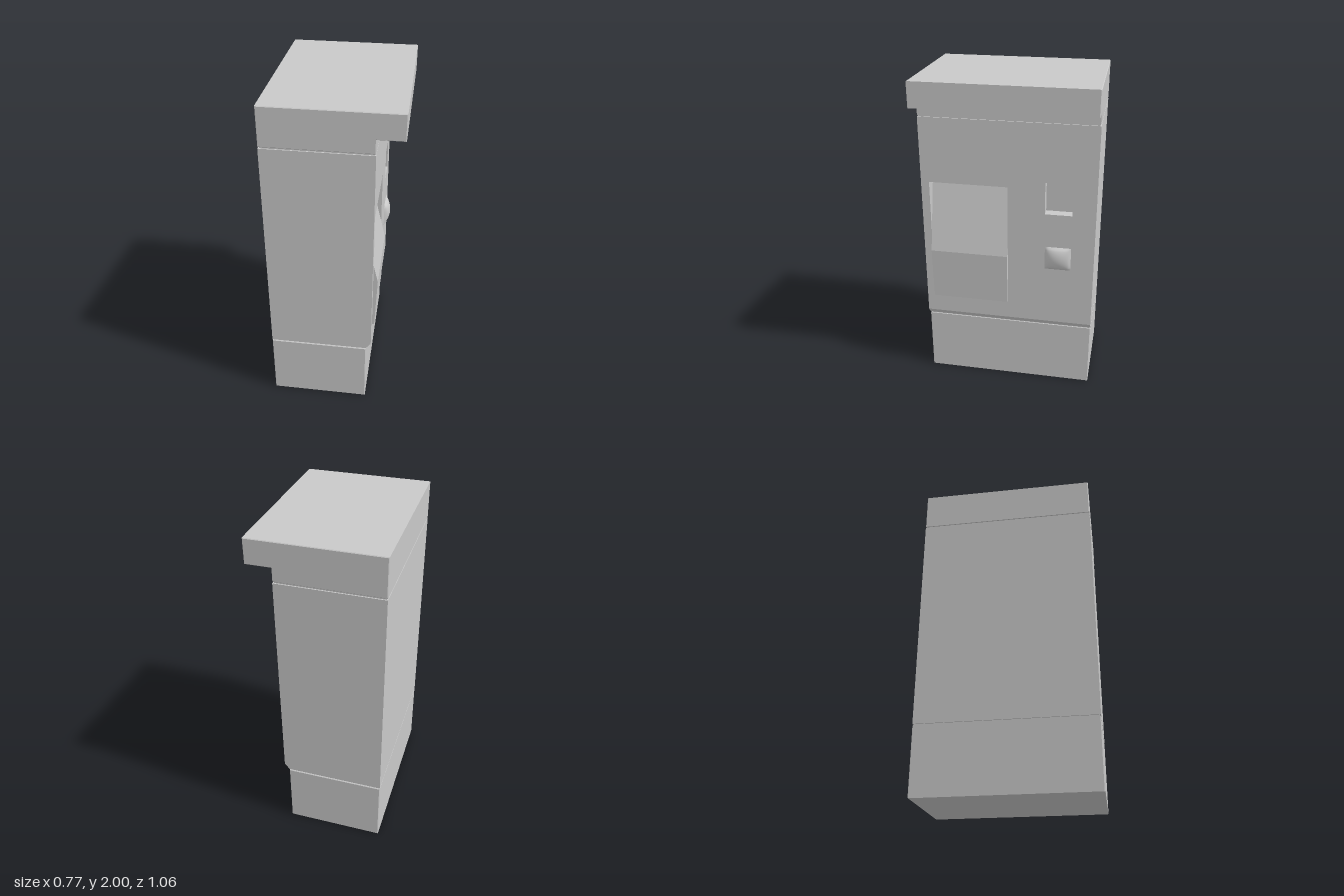
import * as THREE from 'three';

const HALF = 0.53; // half width along z
const BACK = -0.387;
const FACE = 0.235; // x of the service face
const CORE = 0.14; // x of the floor behind the face panel

const grey = new THREE.MeshStandardMaterial({ color: 0xc8c8c8 });
grey.name = 'grey casing';

function add(group, name, geometry) {
  const mesh = new THREE.Mesh(geometry, grey);
  mesh.name = name;
  group.add(mesh);
}

// Side profile in x,y extruded between two z values, with an optional tiny edge bevel
function profile(points, z0, z1, bevel = 0) {
  const shape = new THREE.Shape(points.map(([x, y]) => new THREE.Vector2(x, y)));
  const g = new THREE.ExtrudeGeometry(shape, {
    depth: z1 - z0 - 2 * bevel, bevelEnabled: bevel > 0, bevelSize: bevel,
    bevelThickness: bevel, bevelOffset: -bevel, bevelSegments: 1,
  });
  return g.translate(0, 0, z0 + bevel);
}

function rect(Type, z0, z1, y0, y1) {
  return new Type([[-z1, y0], [-z0, y0], [-z0, y1], [-z1, y1]].map(([x, y]) => new THREE.Vector2(x, y)));
}

export function createModel() {
  const group = new THREE.Group();
  group.name = 'kiosk';

  // Plinth and overhanging head
  add(group, 'plinth', profile([[BACK, 0], [0.205, 0], [0.205, 0.413], [BACK, 0.413]], -HALF, HALF, 0.004));
  add(group, 'head', profile([
    [BACK, 1.769], [FACE, 1.769], [FACE, 1.85], [0.387, 1.85], [0.387, 2], [BACK, 2],
  ], -HALF, HALF, 0.004));

  // Cabinet with a chamfered lower front edge
  add(group, 'cabinet', profile([
    [BACK, 0.421], [0.205, 0.421], [FACE, 0.46], [CORE, 0.46], [CORE, 1.761], [BACK, 1.761],
  ], -HALF, HALF));

  // Inset strips inside the two seams
  for (const [name, y, front] of [['lowerSeam', 0.417, 0.198], ['upperSeam', 1.765, 0.228]]) {
    const strip = new THREE.BoxGeometry(front - BACK - 0.007, 0.02, HALF * 2 - 0.014);
    add(group, name, strip.translate((front + BACK + 0.007) / 2, y, 0));
  }

  // Face panel with openings for the screen and the slot
  const face = rect(THREE.Shape, -HALF, HALF, 0.46, 1.761);
  face.holes.push(rect(THREE.Path, 0, 0.48, 0.58, 1.36), rect(THREE.Path, -0.39, -0.225, 1.205, 1.405));
  const panel = new THREE.ExtrudeGeometry(face, { depth: FACE - CORE, bevelEnabled: false });
  add(group, 'facePanel', panel.rotateY(Math.PI / 2).translate(CORE, 0, 0));

  // Tilted screen, sunk at the top and standing proud below
  add(group, 'screen', profile([
    [CORE, 0.58], [0.248, 0.58], [0.262, 0.91], [0.155, 1.36], [CORE, 1.36],
  ], 0, 0.48));

  // Back wall of the slot
  add(group, 'slotBack', new THREE.BoxGeometry(0.04, 0.2, 0.165).translate(0.155, 1.305, -0.3075));

  // Domed square button
  const dome = new THREE.PlaneGeometry(0.16, 0.15, 16, 16);
  const p = dome.attributes.position;
  for (let i = 0; i < p.count; i++) {
    const u = p.getX(i) / 0.08, v = p.getY(i) / 0.075;
    const k = Math.max(0, (1 - u * u) * (1 - v * v));
    p.setZ(i, 0.036 * Math.pow(k, 0.6));
  }
  dome.computeVertexNormals();
  add(group, 'button', dome.rotateY(Math.PI / 2).translate(FACE + 0.001, 0.915, -0.31));

  return group;
}
